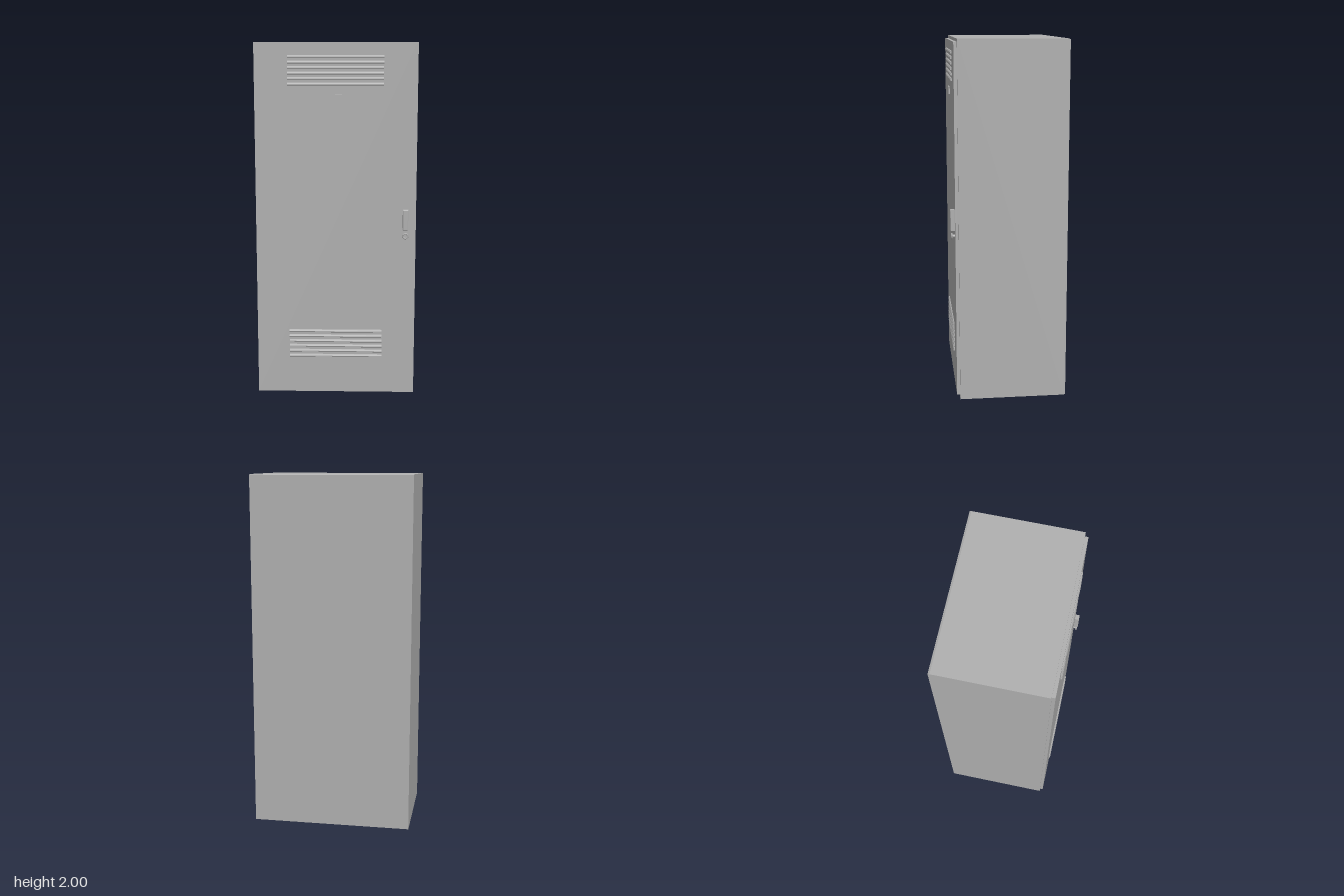
import * as THREE from 'three';

const paint = new THREE.MeshStandardMaterial({ color: 0xb0b0b0 });
paint.name = 'grey paint';

function add(parent, name, geometry, x = 0, y = 0, z = 0) {
  const mesh = new THREE.Mesh(geometry, paint);
  mesh.name = name;
  mesh.position.set(x, y, z);
  parent.add(mesh);
  return mesh;
}

// Extrude a side profile of [z, y] points along x, centred on x = 0
function sideExtrude(points, width) {
  const shape = new THREE.Shape(points.map(([z, y]) => new THREE.Vector2(-z, y)));
  const geometry = new THREE.ExtrudeGeometry(shape, { depth: width, bevelEnabled: false });
  geometry.translate(0, 0, -width / 2);
  geometry.rotateY(Math.PI / 2);
  return geometry;
}

// Row of pressed hoods, each sloping out and folding back under
function louverBank(name, topY) {
  const bank = new THREE.Group();
  bank.name = name;
  const profile = [[0, 0], [0.007, 0], [0.0095, 0.003], [0.0095, 0.007], [0.006, 0.013], [0, 0.016]];
  const hood = sideExtrude(profile, 0.527);
  for (let i = 0; i < 6; i++) {
    add(bank, 'louver', hood, -0.001, topY - 0.016 - i * 0.0295, 0.293);
  }
  return bank;
}

export function createModel() {
  const cabinet = new THREE.Group();
  cabinet.name = 'cabinet';

  // Body, with slightly folded edges at the back
  add(cabinet, 'body', sideExtrude([
    [0.276, 0], [0.276, 2], [-0.312, 2], [-0.322, 1.996], [-0.322, 0.004], [-0.312, 0],
  ], 0.898));

  // Door panel
  add(cabinet, 'door', new THREE.BoxGeometry(0.873, 1.96, 0.018), -0.002, 1.003, 0.285);

  // Ventilation louvers
  cabinet.add(louverBank('upperLouvers', 1.932), louverBank('lowerLouvers', 0.383));

  // Blank plate under the upper louvers
  add(cabinet, 'plate', new THREE.BoxGeometry(0.077, 0.042, 0.008), -0.003, 1.7, 0.297);

  // Handle, with a bevelled grip
  const grip = new THREE.Shape();
  grip.moveTo(-0.012, -0.055);
  grip.lineTo(0.012, -0.055);
  grip.lineTo(0.012, 0.055);
  grip.lineTo(-0.012, 0.055);
  const gripGeometry = new THREE.ExtrudeGeometry(grip, {
    depth: 0.021, bevelThickness: 0.003, bevelSize: 0.003, bevelSegments: 1,
  });
  add(cabinet, 'handle', gripGeometry, 0.389, 1.026, 0.295);

  // Lock: ring on a short barrel
  const lock = new THREE.Group();
  lock.name = 'lock';
  lock.position.set(0.389, 0.935, 0);
  add(lock, 'lockRing', new THREE.TorusGeometry(0.0135, 0.0045, 8, 24), 0, 0, 0.311);
  const barrel = new THREE.CylinderGeometry(0.009, 0.009, 0.018, 16).rotateX(Math.PI / 2);
  add(lock, 'lockBarrel', barrel, 0, 0, 0.302);
  cabinet.add(lock);

  return cabinet;
}
